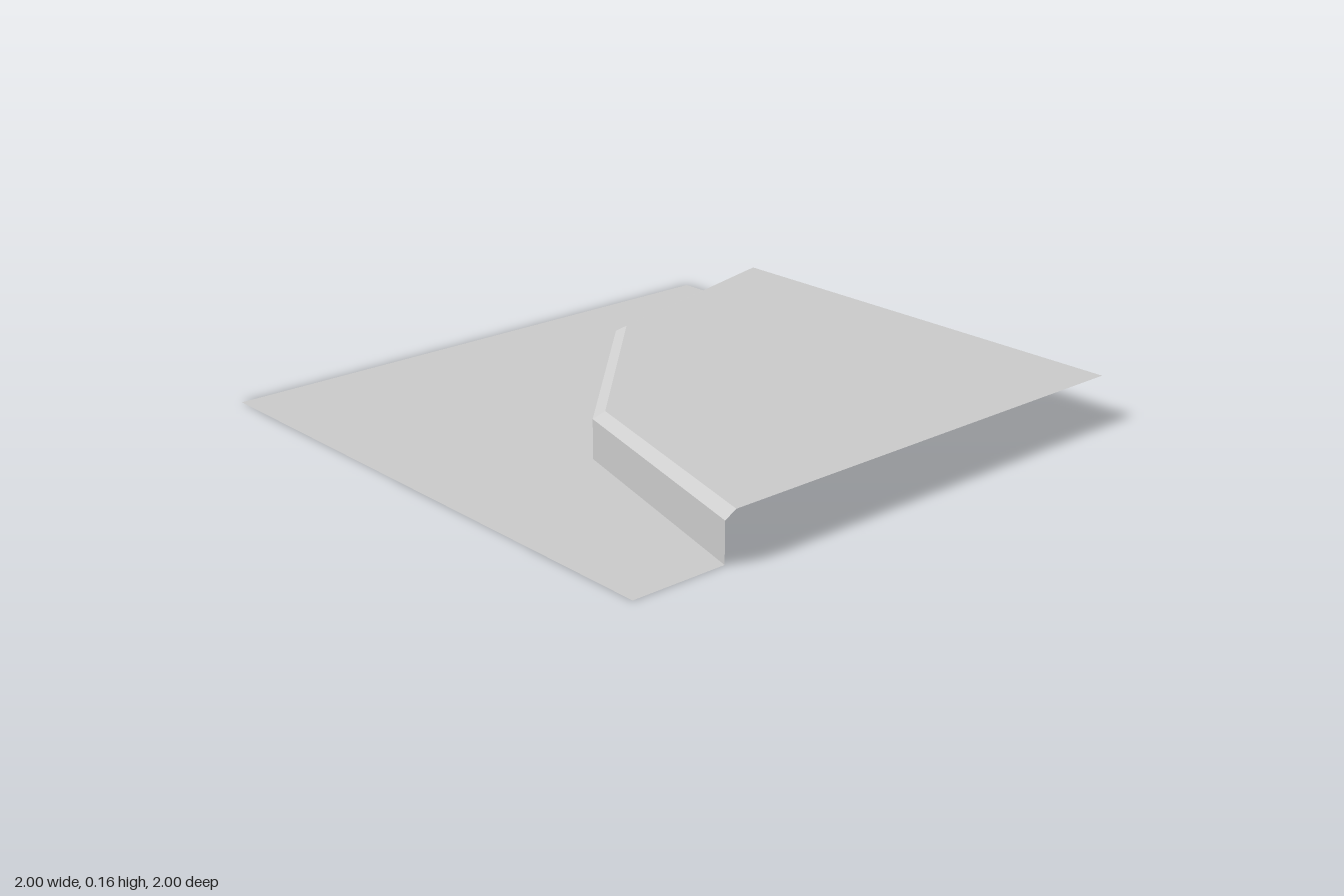
import * as THREE from 'three';

const LEDGE_Y = 0.133, TOP_Y = 0.156;

// Cliff line as [x, z], and the same line inset for the bevelled lip
const cliff = [[-0.667, 1], [-0.444, 0.165], [0.165, -0.444], [1, -0.667]];
const lip = [[-0.625, 1], [-0.409, 0.184], [0.184, -0.409], [1, -0.625]];

// Flat sheet facing up, outlined by [x, z] points
function sheet(points, y) {
  const shape = new THREE.Shape(points.map(([x, z]) => new THREE.Vector2(x, -z)));
  return new THREE.ShapeGeometry(shape).rotateX(-Math.PI / 2).translate(0, y, 0);
}

// Faceted band between two lines at two heights, facing the low ground
function band(low, lowY, high, highY) {
  const positions = [];
  for (let i = 0; i < low.length - 1; i++) {
    const a = [low[i][0], lowY, low[i][1]];
    const b = [low[i + 1][0], lowY, low[i + 1][1]];
    const c = [high[i + 1][0], highY, high[i + 1][1]];
    const d = [high[i][0], highY, high[i][1]];
    positions.push(...b, ...a, ...d, ...b, ...d, ...c);
  }
  const geometry = new THREE.BufferGeometry();
  geometry.setAttribute('position', new THREE.Float32BufferAttribute(positions, 3));
  geometry.computeVertexNormals();
  return geometry;
}

export function createModel() {
  const group = new THREE.Group();
  group.name = 'cliffCornerTile';
  const stone = new THREE.MeshStandardMaterial({ color: 0xcccccc, side: THREE.DoubleSide, flatShading: true });
  stone.name = 'light grey';

  const add = (name, geometry) => {
    const mesh = new THREE.Mesh(geometry, stone);
    mesh.name = name;
    group.add(mesh);
  };

  // Low ground wraps the back and right; the plateau fills the front left corner
  add('lowerGround', sheet([...cliff, [1, -1], [-1, -1], [-1, 1]], 0));
  add('cliffWall', band(cliff, 0, cliff, LEDGE_Y));
  add('cliffBevel', band(cliff, LEDGE_Y, lip, TOP_Y));
  add('upperGround', sheet([...lip, [1, 1]], TOP_Y));
  return group;
}
